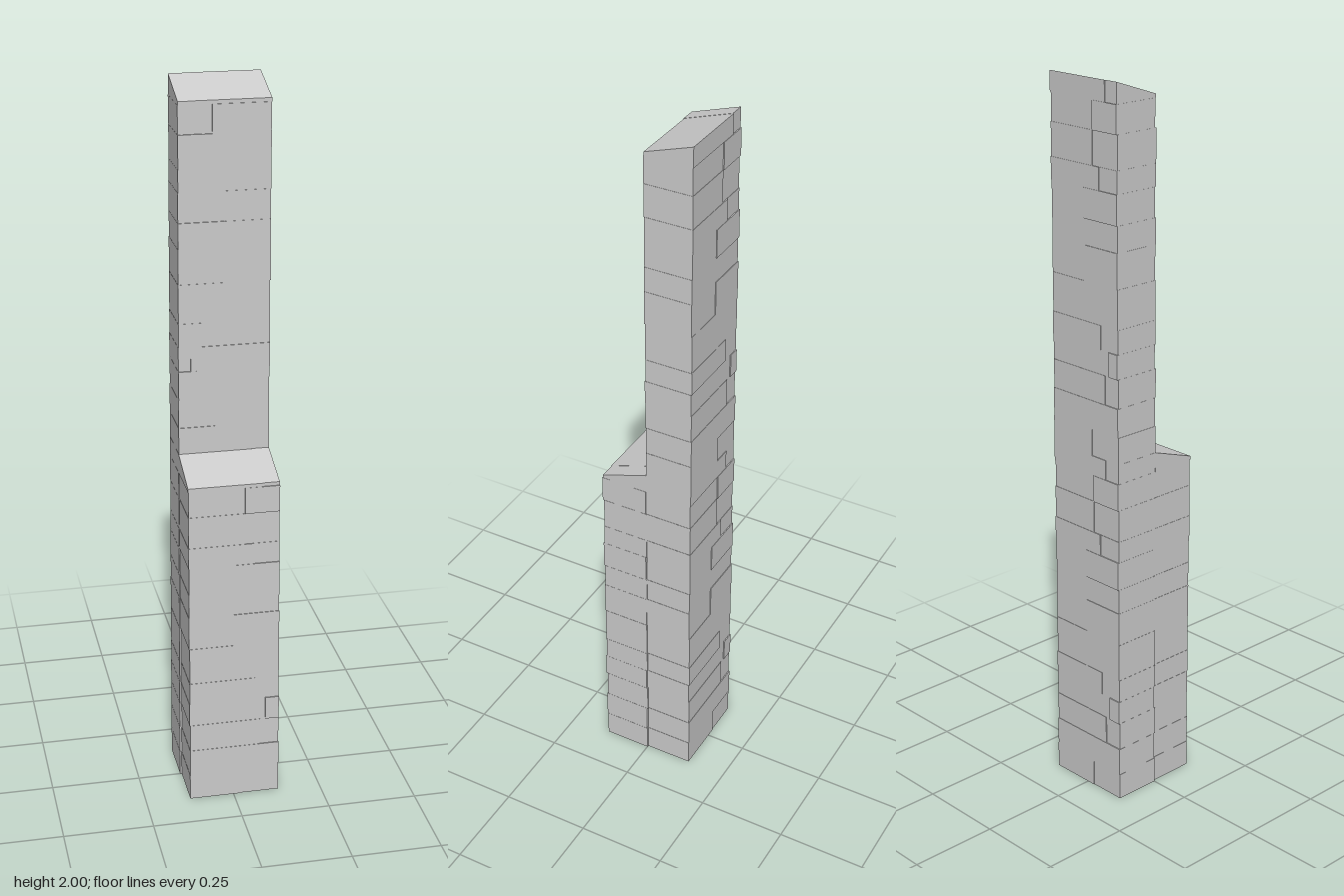
import * as THREE from 'three';

const material = new THREE.MeshStandardMaterial({ color: 0xcccccc, flatShading: true });

// Course heights within one unit-high module, and the joint position of each course
const levels = [0, 0.075, 0.155, 0.235, 0.302, 0.368, 0.475, 0.57, 0.64, 0.72, 0.78, 0.87, 0.945, 1];
const joints = [-0.025, -0.05, -0.075, -0.09, -0.06, -0.04, 0, -0.035, 0, -0.055, -0.03, -0.03, -0.077];
// Small shifts in depth of the narrow and wide block of each course
const narrowShift = [0.001, -0.001, 0.002, -0.002, 0.001, 0, -0.001, 0.001, -0.002, 0.001, 0.002, -0.002, 0.001];
const wideShift = [-0.001, -0.001, 0, 0.001, -0.001, 0, 0.001, 0.001, 0, -0.001, 0, 0.001, -0.001];

// Block between two corners; a sloped block rises from its front edge to its back edge
function block(name, x0, x1, y0, y1, z0, z1, sloped) {
  const geometry = new THREE.BoxGeometry(x1 - x0, y1 - y0, z1 - z0);
  geometry.translate((x0 + x1) / 2, (y0 + y1) / 2, (z0 + z1) / 2);
  if (sloped) {
    const p = geometry.attributes.position;
    for (let i = 0; i < p.count; i++) {
      if (p.getY(i) > y0 + 0.001 && p.getZ(i) > (z0 + z1) / 2) p.setY(i, y1 - 0.045);
    }
    geometry.computeVertexNormals();
  }
  const mesh = new THREE.Mesh(geometry, material);
  mesh.name = name;
  return mesh;
}

// One pillar of stacked courses; side = -1 mirrors the joints to the other side
function pillar(name, modules, side, zBack, zFront) {
  const group = new THREE.Group();
  group.name = name;
  for (let m = 0; m < modules; m++) {
    for (let i = 0; i < joints.length; i++) {
      const y0 = m + levels[i], y1 = m + levels[i + 1];
      const sloped = m === modules - 1 && i === joints.length - 1;
      // The outer edge draws in slightly towards the top
      const outer = -0.13 + 0.0055 * (y0 + y1) / 2;
      const inner = 0.125 - (i % 3) * 0.0007;
      const span = (a, b) => (side > 0 ? [a, b] : [-b, -a]);
      const dn = side * narrowShift[i], dw = side * wideShift[i];
      group.add(
        block('narrowBlock', ...span(outer, joints[i]), y0, y1, zBack + dn, zFront + dn, sloped),
        block('wideBlock', ...span(joints[i], inner), y0, y1, zBack + dw, zFront + dw, sloped)
      );
    }
  }
  return group;
}

export function createModel() {
  const model = new THREE.Group();
  model.name = 'steppedPillar';
  model.add(pillar('tallBackPillar', 2, 1, -0.135, 0));
  model.add(pillar('shortFrontPillar', 1, -1, 0, 0.134));
  return model;
}
